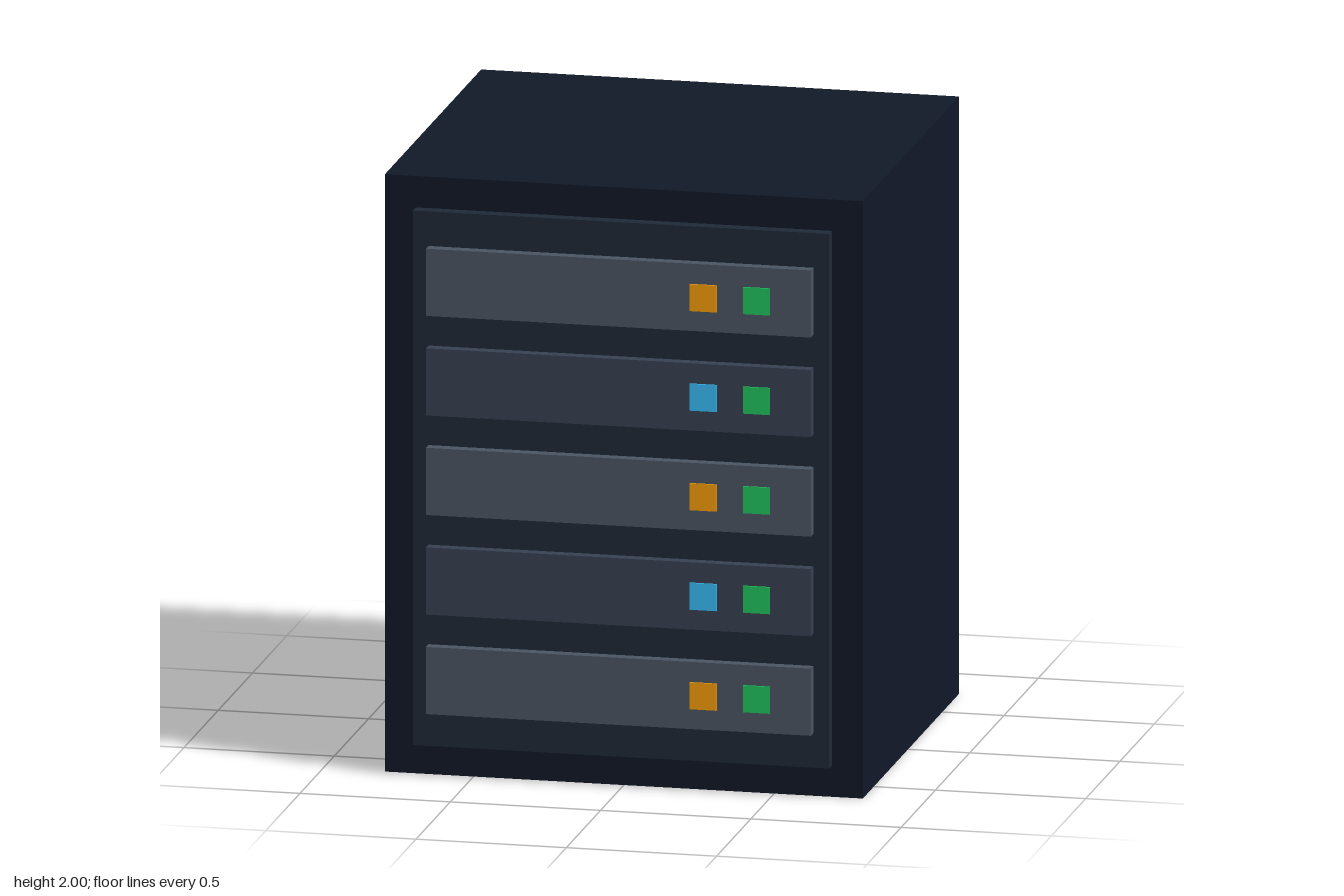
import * as THREE from 'three';

const material = (color) => new THREE.MeshStandardMaterial({ color });

export function createModel() {
  const model = new THREE.Group();
  model.name = 'serverRack';

  const mats = {
    cabinet: material(0x111827),
    panel: material(0x1f2937),
    lightTray: material(0x4b5563),
    darkTray: material(0x374151),
    green: material(0x22c55e),
    amber: material(0xf59e0b),
    blue: material(0x38bdf8),
  };

  // Box centred on x, y and spanning z0 to z1
  function box(name, parent, mat, w, h, x, y, z0, z1) {
    const mesh = new THREE.Mesh(new THREE.BoxGeometry(w, h, z1 - z0), mat);
    mesh.name = name;
    mesh.position.set(x, y, (z0 + z1) / 2);
    parent.add(mesh);
  }

  // Cabinet and raised front panel
  box('cabinet', model, mats.cabinet, 1.59, 2, 0, 1, -0.745, 0.66);
  box('frontPanel', model, mats.panel, 1.385, 1.79, 0, 1, 0.64, 0.702);

  // Five server units, alternating shade and left lamp colour
  for (let i = 0; i < 5; i++) {
    const unit = new THREE.Group();
    unit.name = `serverUnit${i + 1}`;
    unit.position.y = (i + 1) / 3;
    const even = i % 2 === 0;
    box('tray', unit, even ? mats.lightTray : mats.darkTray, 1.28, 0.225, 0, 0, 0.68, 0.739);
    box('statusLamp', unit, even ? mats.amber : mats.blue, 0.09, 0.09, 0.283, 0, 0.72, 0.745);
    box('powerLamp', unit, mats.green, 0.09, 0.09, 0.46, 0, 0.72, 0.745);
    model.add(unit);
  }

  return model;
}
